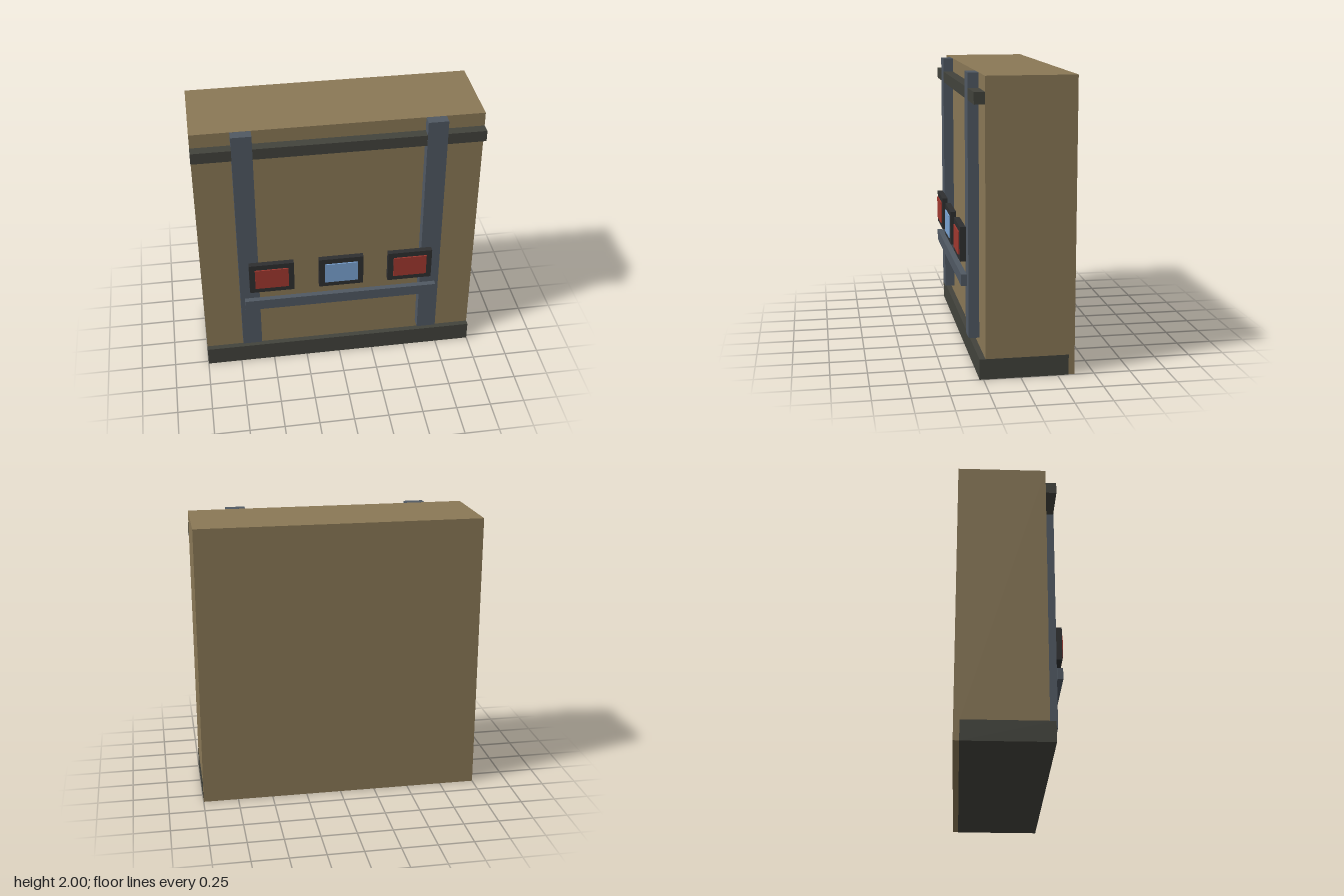
import * as THREE from 'three';

function mat(name, color) {
  const m = new THREE.MeshStandardMaterial({ color });
  m.name = name;
  return m;
}

export function createModel() {
  const group = new THREE.Group();
  group.name = 'wallPanel';

  const tan = mat('tan', 0x8a7856);
  const charcoal = mat('charcoal', 0x42433c);
  const steel = mat('steelGrey', 0x505963);
  const black = mat('frameBlack', 0x2e2f30);
  const red = mat('signalRed', 0xa0382f);
  const blue = mat('screenBlue', 0x7aa3d2);

  // Box given by its min and max on each axis
  function box(name, material, [x0, x1], [y0, y1], [z0, z1], parent = group) {
    const mesh = new THREE.Mesh(new THREE.BoxGeometry(x1 - x0, y1 - y0, z1 - z0), material);
    mesh.position.set((x0 + x1) / 2, (y0 + y1) / 2, (z0 + z1) / 2);
    mesh.name = name;
    parent.add(mesh);
    return mesh;
  }

  // Wall block and the plinth that runs under and in front of it
  box('wall', tan, [-0.999, 0.999], [0.002, 2], [-0.365, 0.236]);
  box('plinth', charcoal, [-1, 1], [0, 0.14], [-0.325, 0.276]);

  // Upper rail
  box('upperRail', charcoal, [-1, 1], [1.82, 1.9], [0.236, 0.308]);

  // Uprights, just proud of the rail
  for (const side of [-1, 1]) {
    const x = side * 0.66;
    box(side > 0 ? 'leftUpright' : 'rightUpright', steel,
      [x - 0.07, x + 0.07], [0.2, 2], [0.237, 0.31]);
  }

  // Lower crossbar
  box('crossbar', steel, [-0.7, 0.7], [0.56, 0.64], [0.316, 0.355]);

  // Framed display panels
  const displays = [
    ['rightDisplay', -0.5, red],
    ['centreDisplay', 0, blue],
    ['leftDisplay', 0.5, red],
  ];
  for (const [name, x, face] of displays) {
    const display = new THREE.Group();
    display.name = name;
    box('displayFrame', black, [x - 0.16, x + 0.16], [0.72, 0.96], [0.316, 0.356], display);
    box('displayFace', face, [x - 0.12, x + 0.12], [0.76, 0.92], [0.356, 0.365], display);
    group.add(display);
  }

  return group;
}
